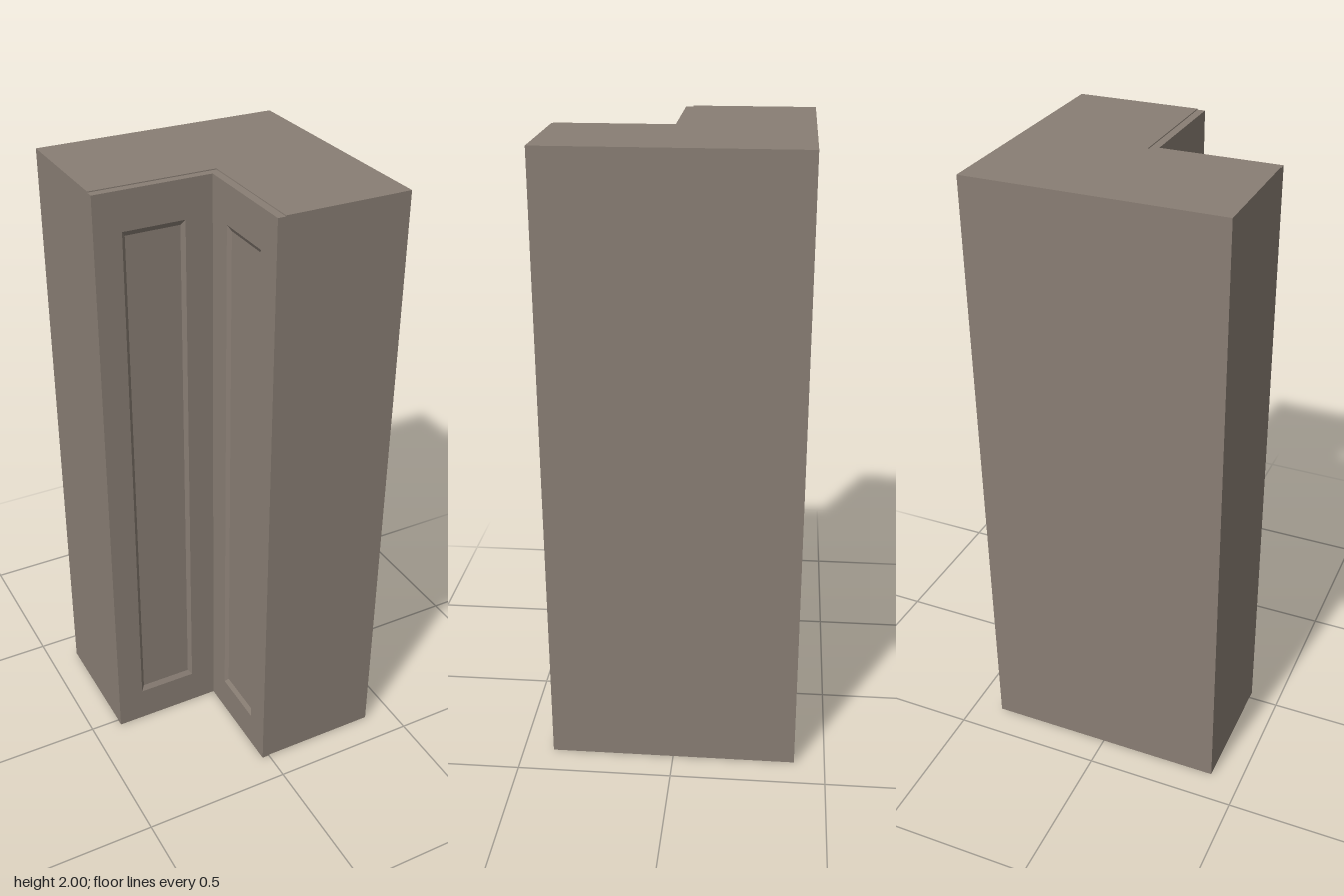
import * as THREE from 'three';

const material = new THREE.MeshStandardMaterial({ color: 0x897e74, flatShading: true });
const HEIGHT = 2, HALF = 0.4, THICK = 0.025, STEP = 0.003;
const DOOR_W = HALF - THICK, DOOR_H = HEIGHT - STEP;

// Slab with a chamfered, recessed centre panel: nested rectangles joined in order.
function panelDoorGeometry(w, h) {
  const loops = [ // [inset, z]
    [0, 0], [0, THICK], [0.088, THICK], [0.1, THICK - 0.01],
  ];
  const positions = [], index = [];
  for (const [inset, z] of loops) {
    const x = w / 2 - inset;
    const y = h / 2 - inset * 1.4;
    positions.push(-x, -y, z, x, -y, z, x, y, z, -x, y, z);
  }
  for (let k = 0; k < loops.length - 1; k++) {
    for (let i = 0; i < 4; i++) {
      const a = k * 4 + i, b = k * 4 + (i + 1) % 4;
      index.push(a, b, b + 4, a, b + 4, a + 4);
    }
  }
  const c = (loops.length - 1) * 4;
  index.push(c, c + 1, c + 2, c, c + 2, c + 3); // recessed panel
  index.push(0, 2, 1, 0, 3, 2); // back
  const indexed = new THREE.BufferGeometry();
  indexed.setAttribute('position', new THREE.Float32BufferAttribute(positions, 3));
  indexed.setIndex(index);
  const geometry = indexed.toNonIndexed();
  geometry.computeVertexNormals();
  return geometry;
}

export function createModel() {
  const group = new THREE.Group();
  group.name = 'cornerCabinet';
  const add = (name, geometry, x, y, z) => {
    const mesh = new THREE.Mesh(geometry, material);
    mesh.name = name;
    mesh.position.set(x, y, z);
    group.add(mesh);
    return mesh;
  };

  // L-shaped carcass, drawn in plan and extruded upwards
  const plan = new THREE.Shape([
    [-HALF, 0], [0, 0], [0, -HALF], [HALF, -HALF], [HALF, HALF], [-HALF, HALF],
  ].map(([x, y]) => new THREE.Vector2(x, y)));
  const carcass = new THREE.ExtrudeGeometry(plan, { depth: HEIGHT - STEP, bevelEnabled: false });
  carcass.rotateX(-Math.PI / 2);
  add('carcass', carcass, 0, STEP, 0);

  // Two matching doors on the inner faces of the L
  const door = panelDoorGeometry(DOOR_W, DOOR_H);
  const mid = THICK + DOOR_W / 2;
  add('frontDoor', door, -mid, DOOR_H / 2, 0);
  add('sideDoor', door, 0, DOOR_H / 2, mid).rotation.y = -Math.PI / 2;

  // Square strip where the doors meet
  add('cornerStrip', new THREE.BoxGeometry(THICK, DOOR_H, THICK), -THICK / 2, DOOR_H / 2, THICK / 2);

  return group;
}
